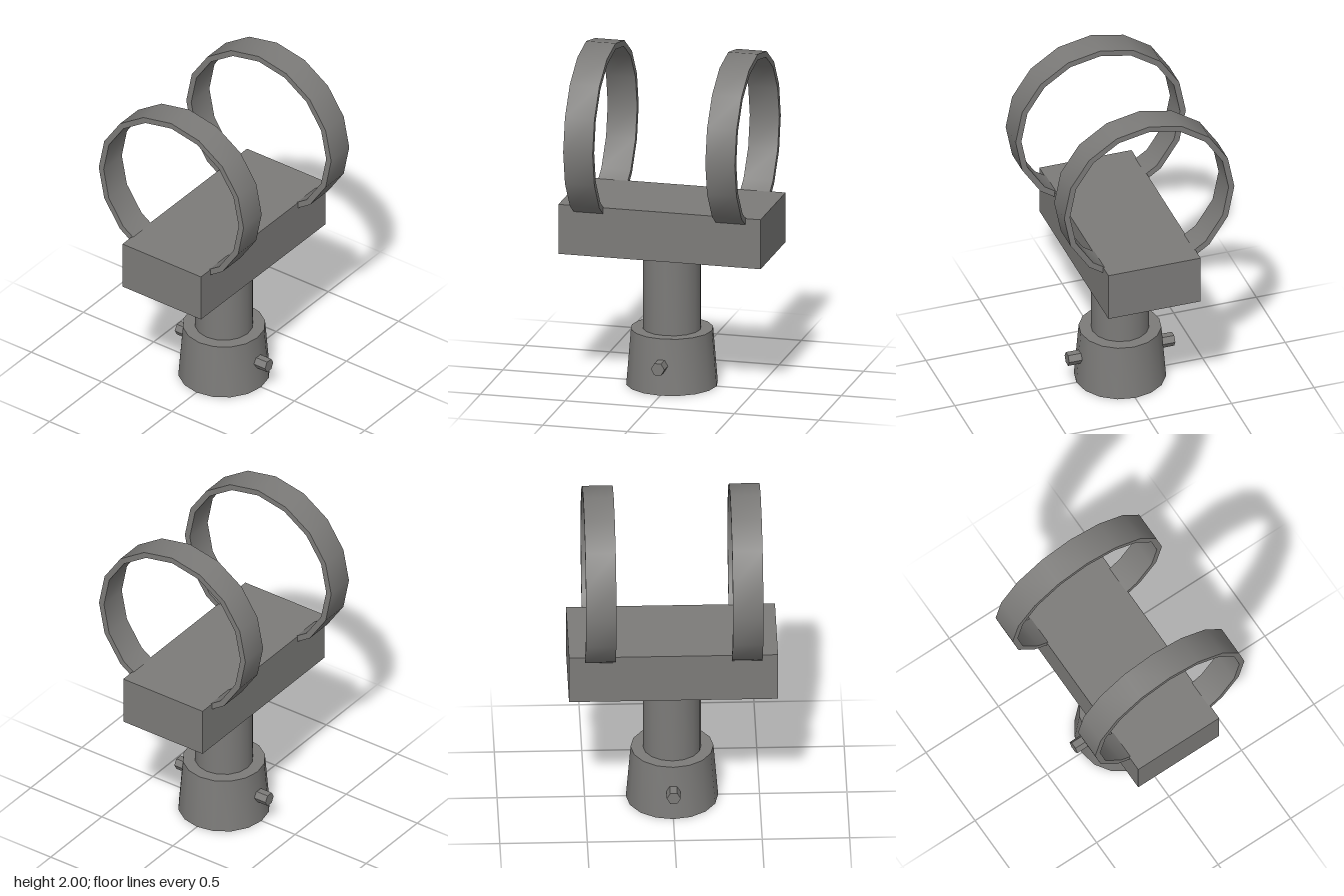
import * as THREE from 'three';
import { toCreasedNormals } from 'three/addons/utils/BufferGeometryUtils.js';

const SIDES = 16;

// Turned shape with 16 sides: smooth around, sharp at profile corners
function turned(profile) {
  const points = profile.map(([r, y]) => new THREE.Vector2(r, y));
  return toCreasedNormals(new THREE.LatheGeometry(points, SIDES), 0.6);
}

export function createModel() {
  const model = new THREE.Group();
  const grey = new THREE.MeshStandardMaterial({ color: 0x7c7b79, side: THREE.DoubleSide });
  grey.name = 'grey metal';

  function add(name, geometry, x, y, z) {
    const mesh = new THREE.Mesh(geometry, grey);
    mesh.name = name;
    mesh.position.set(x, y, z);
    model.add(mesh);
  }

  // Block carrying the two rings
  add('saddleBlock', new THREE.BoxGeometry(1.195, 0.295, 0.558), 0, 0.9525, 0);

  // Hollow post, open at the bottom
  add('post', turned([[0.167, 0.005], [0.167, 0.81]]), 0, 0, 0);

  // Tapered socket: thin shell closed by a flat shoulder around the post
  add('socketCollar', turned([[0.264, 0], [0.237, 0.33], [0.165, 0.33]]), 0, 0, 0);

  // Clamp rings, their lower arcs sunk into the block
  const outer = 0.515, inner = 0.48, half = 0.087;
  const ring = turned([
    [inner, -half], [outer, -half], [outer, half], [inner, half], [inner, -half],
  ]).rotateZ(Math.PI / 2);
  add('leftClampRing', ring, 0.42, 1.485, 0);
  add('rightClampRing', ring, -0.42, 1.485, 0);

  // Hexagonal set screws, front and back
  const screw = toCreasedNormals(new THREE.CylinderGeometry(0.04, 0.04, 0.09, 6), 0.6)
    .rotateY(Math.PI / 2).rotateX(Math.PI / 2);
  add('frontScrew', screw, 0, 0.172, 0.276);
  add('backScrew', screw, 0, 0.172, -0.276);

  return model;
}
